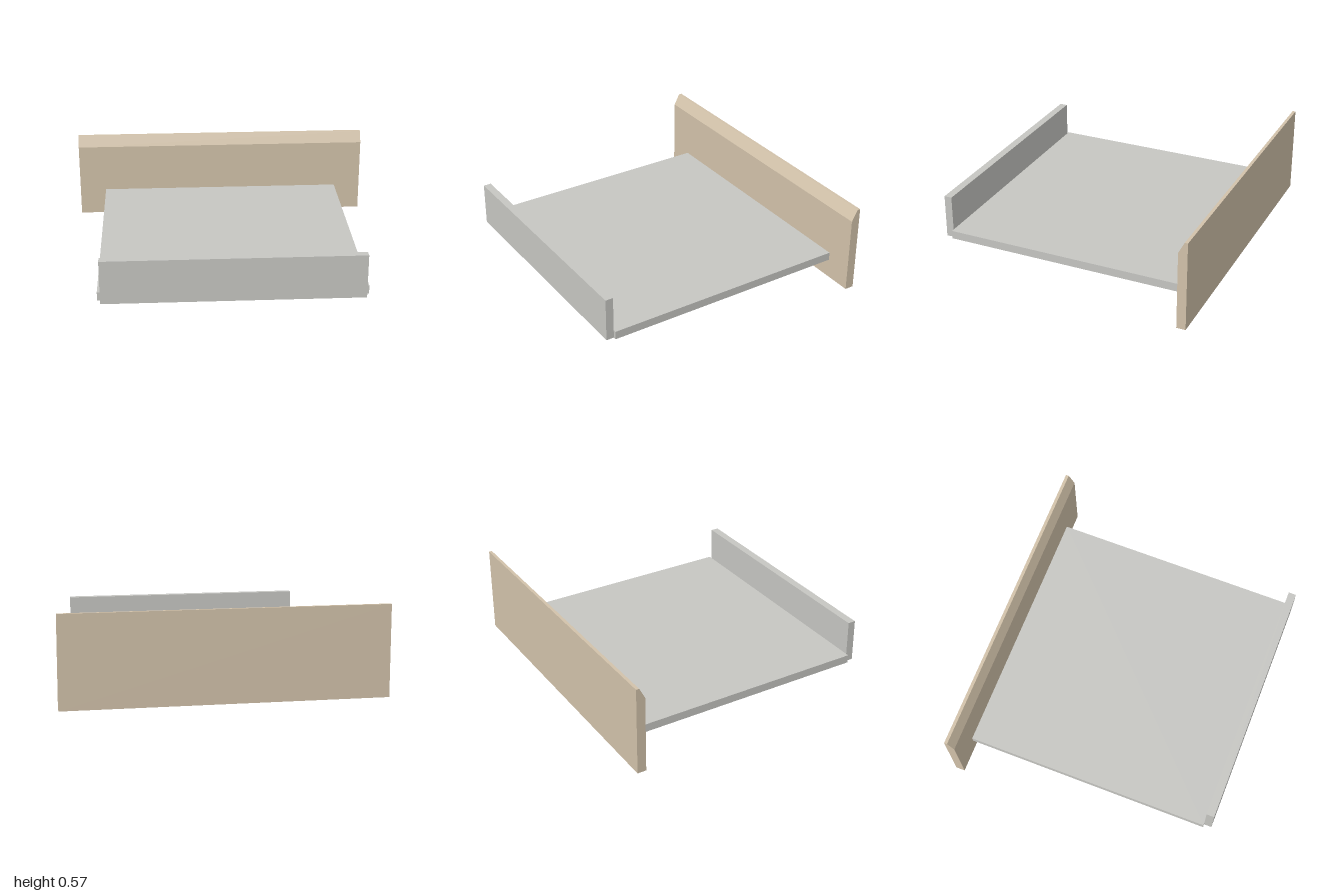
import * as THREE from 'three';

const grey = new THREE.MeshStandardMaterial({ color: 0xc6c6c2 });
grey.name = 'grey';
const tan = new THREE.MeshStandardMaterial({ color: 0xd2c2aa });
tan.name = 'tan';

// Box given by its half width and its y and z ranges
function board(name, halfWidth, y0, y1, z0, z1) {
  const mesh = new THREE.Mesh(new THREE.BoxGeometry(halfWidth * 2, y1 - y0, z1 - z0), grey);
  mesh.position.set(0, (y0 + y1) / 2, (z0 + z1) / 2);
  mesh.name = name;
  return mesh;
}

// Front panel of the drawer: a profile in (z, y) with a chamfered top, swept along x
function chamferedPanel() {
  const profile = [[-0.855, 0], [-0.797, 0], [-0.797, 0.5], [-0.835, 0.573], [-0.855, 0.573]];
  const shape = new THREE.Shape(profile.map(([z, y]) => new THREE.Vector2(-z, y)));
  const geometry = new THREE.ExtrudeGeometry(shape, { depth: 2, bevelEnabled: false });
  geometry.translate(0, 0, -1).rotateY(Math.PI / 2);
  const mesh = new THREE.Mesh(geometry, tan);
  mesh.name = 'chamferedPanel';
  return mesh;
}

export function createModel() {
  const group = new THREE.Group();
  group.name = 'drawer';
  group.add(
    chamferedPanel(),
    board('basePlate', 0.82, 0.125, 0.178, -0.797, 0.805),
    board('endWall', 0.8, 0.125, 0.405, 0.805, 0.855),
  );
  return group;
}
